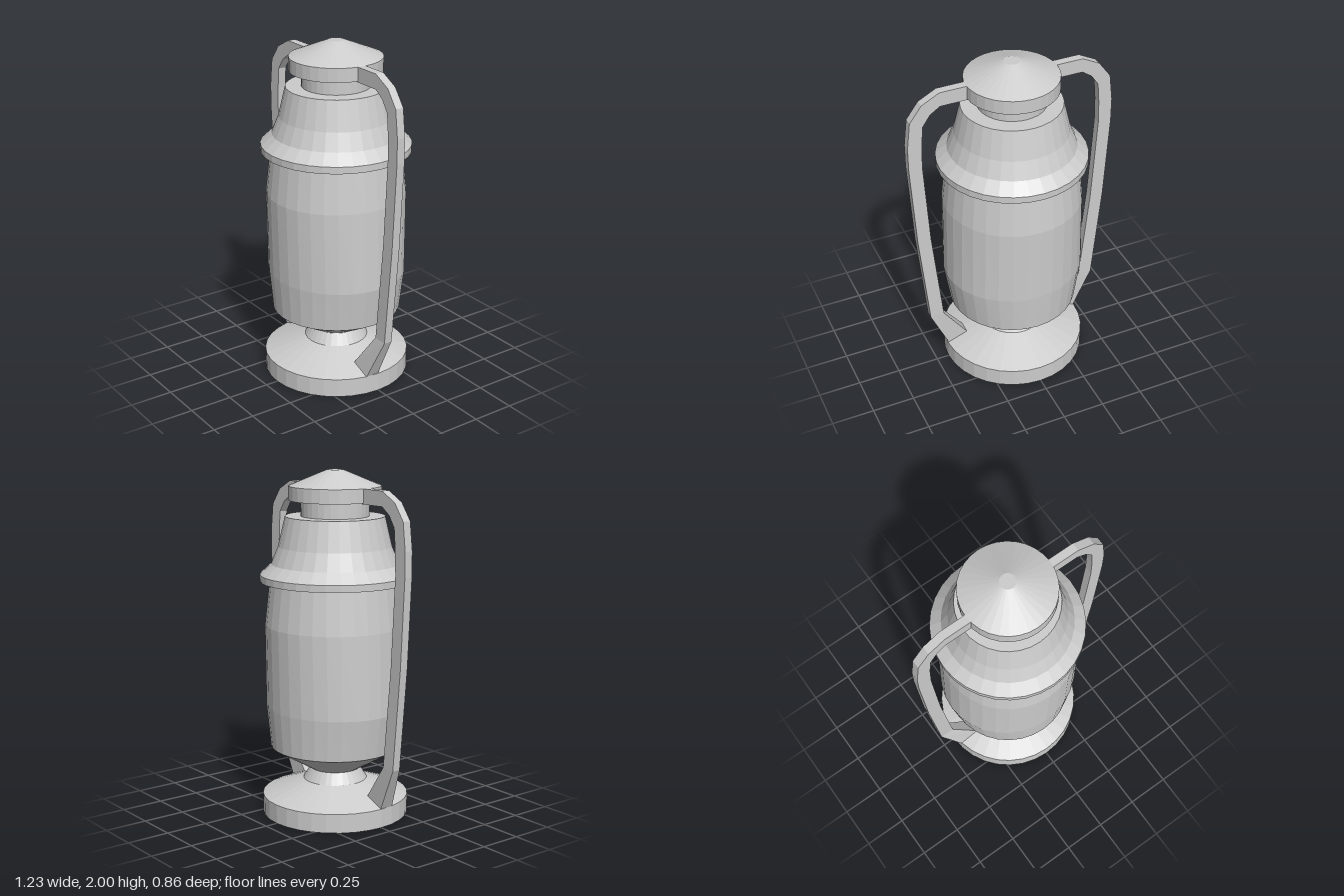
import * as THREE from 'three';

const SIDES = 32;

// Lathed part from [radius, y] pairs, listed bottom to top
function turned(name, profile, material) {
  const points = profile.map(([r, y]) => new THREE.Vector2(r, y));
  const mesh = new THREE.Mesh(new THREE.LatheGeometry(points, SIDES), material);
  mesh.name = name;
  return mesh;
}

// Bar swept through sections of [outerX, outerY, innerX, innerY, zBack, zFront]
function handle(name, sections, side, material) {
  const positions = [];
  const rings = sections.map(([ox, oy, ix, iy, z0, z1]) => [
    [ox * side, oy, z0], [ox * side, oy, z1], [ix * side, iy, z1], [ix * side, iy, z0],
  ]);
  const quad = (a, b, c, d) => {
    const corners = side > 0 ? [a, b, c, a, c, d] : [a, c, b, a, d, c];
    corners.forEach((p) => positions.push(...p));
  };
  for (let i = 0; i < rings.length - 1; i++) {
    for (let k = 0; k < 4; k++) {
      const n = (k + 1) % 4;
      quad(rings[i][k], rings[i][n], rings[i + 1][n], rings[i + 1][k]);
    }
  }
  const first = rings[0];
  const last = rings[rings.length - 1];
  quad(first[3], first[2], first[1], first[0]);
  quad(last[0], last[1], last[2], last[3]);
  const geometry = new THREE.BufferGeometry();
  geometry.setAttribute('position', new THREE.Float32BufferAttribute(positions, 3));
  geometry.computeVertexNormals();
  const mesh = new THREE.Mesh(geometry, material);
  mesh.name = name;
  return mesh;
}

export function createModel() {
  const model = new THREE.Group();
  model.name = 'lantern';
  const grey = new THREE.MeshStandardMaterial({ color: 0xcccccc });
  grey.name = 'light grey';
  grey.flatShading = true;

  // Foot with sloped top and narrow waist
  model.add(turned('base', [
    [0, 0], [0.425, 0], [0.425, 0.11], [0.185, 0.2], [0.145, 0.265],
  ], grey));

  // Body, slightly flattened front to back at its lower bulge
  const body = turned('body', [
    [0.145, 0.265], [0.375, 0.4], [0.413, 0.64], [0.403, 1.12], [0.375, 1.37],
  ], grey);
  const pos = body.geometry.attributes.position;
  for (let i = 0; i < pos.count; i++) {
    if (Math.abs(pos.getY(i) - 0.64) < 0.01) pos.setZ(i, pos.getZ(i) * 0.95);
  }
  body.geometry.computeVertexNormals();
  model.add(body);

  // Collar and stepped shoulder
  model.add(turned('shoulder', [
    [0.375, 1.37], [0.43, 1.37], [0.43, 1.41], [0.365, 1.47],
    [0.325, 1.57], [0.285, 1.74], [0.195, 1.74],
  ], grey));

  // Neck and lid
  model.add(turned('neck', [[0.195, 1.74], [0.195, 1.83]], grey));
  model.add(turned('lid', [
    [0.195, 1.83], [0.265, 1.83], [0.265, 1.91], [0.045, 2], [0, 2],
  ], grey));

  // Side handles, from lid down to the foot, where they widen forwards
  const sections = [
    [0.25, 1.91, 0.25, 1.825, -0.008, 0.042],
    [0.42, 1.91, 0.42, 1.825, -0.008, 0.042],
    [0.525, 1.855, 0.478, 1.785, -0.008, 0.042],
    [0.595, 1.76, 0.522, 1.72, -0.008, 0.042],
    [0.614, 1.6, 0.532, 1.6, -0.008, 0.042],
    [0.614, 1.46, 0.535, 1.46, -0.008, 0.042],
    [0.585, 0.95, 0.505, 0.95, -0.008, 0.042],
    [0.53, 0.36, 0.447, 0.365, -0.008, 0.042],
    [0.42, 0.11, 0.3, 0.155, 0, 0.083],
  ];
  model.add(handle('leftHandle', sections, 1, grey));
  model.add(handle('rightHandle', sections, -1, grey));
  return model;
}
